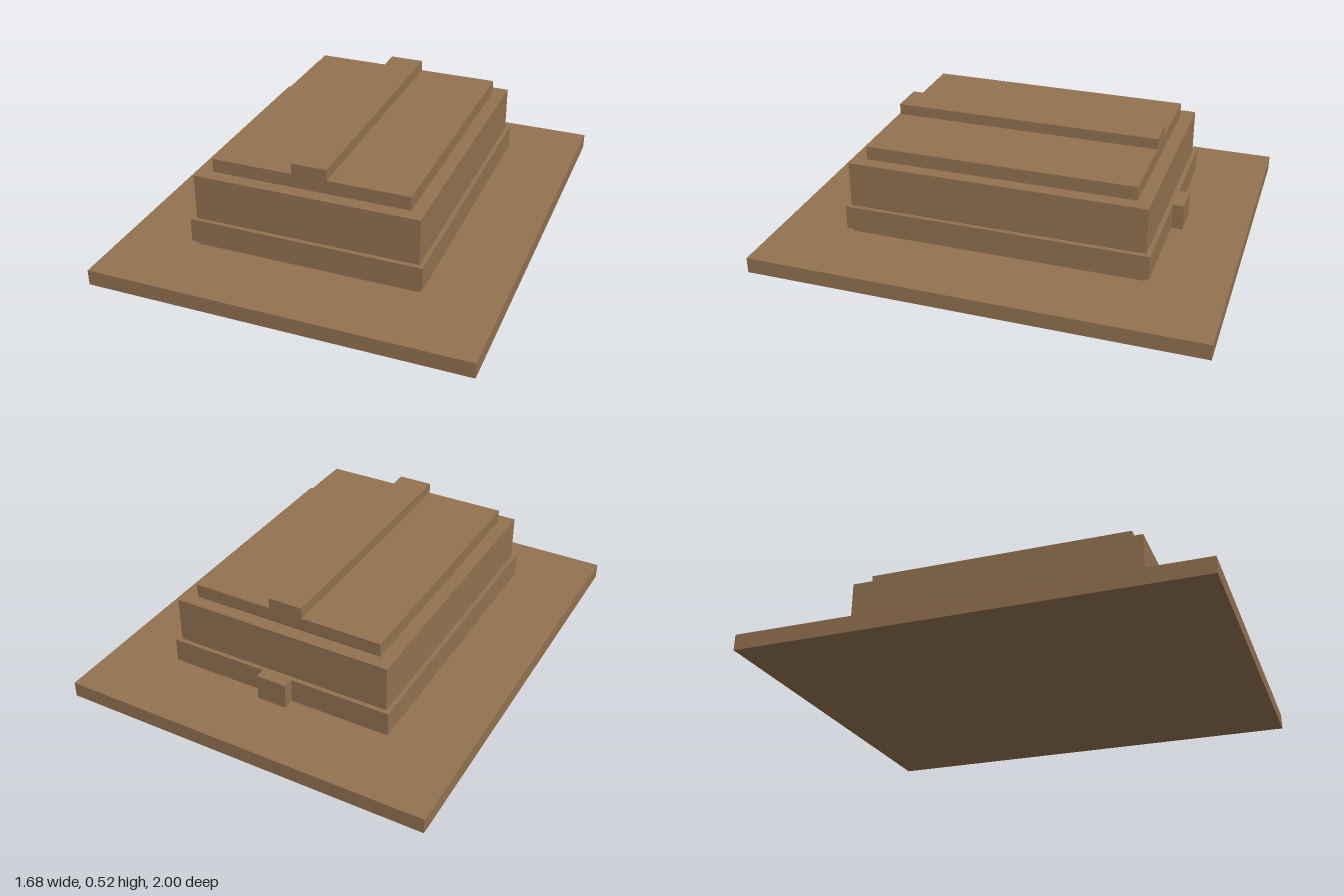
import * as THREE from 'three';

export function createModel() {
  const group = new THREE.Group();
  const brown = new THREE.MeshStandardMaterial({ color: 0x937250 });
  brown.name = 'brown';

  // Box given by half width, vertical range and depth range
  const addBox = (name, halfX, y0, y1, z0, z1) => {
    const mesh = new THREE.Mesh(new THREE.BoxGeometry(halfX * 2, y1 - y0, z1 - z0), brown);
    mesh.name = name;
    mesh.position.set(0, (y0 + y1) / 2, (z0 + z1) / 2);
    group.add(mesh);
  };

  // Wide ground slab
  addBox('baseSlab', 0.84, 0, 0.07, -1, 1);
  // Main block, floating just above the slab
  addBox('body', 0.5, 0.08, 0.415, -0.66, 0.66);
  // Band around the lower body, with a small block at the back
  addBox('band', 0.52, 0.102, 0.21, -0.68, 0.68);
  addBox('backBlock', 0.068, 0.098, 0.215, -0.73, -0.675);
  // Stepped top with a raised centre strip
  addBox('topPlate', 0.44, 0.415, 0.476, -0.6, 0.6);
  addBox('centreRidge', 0.078, 0.476, 0.525, -0.6, 0.6);

  return group;
}
